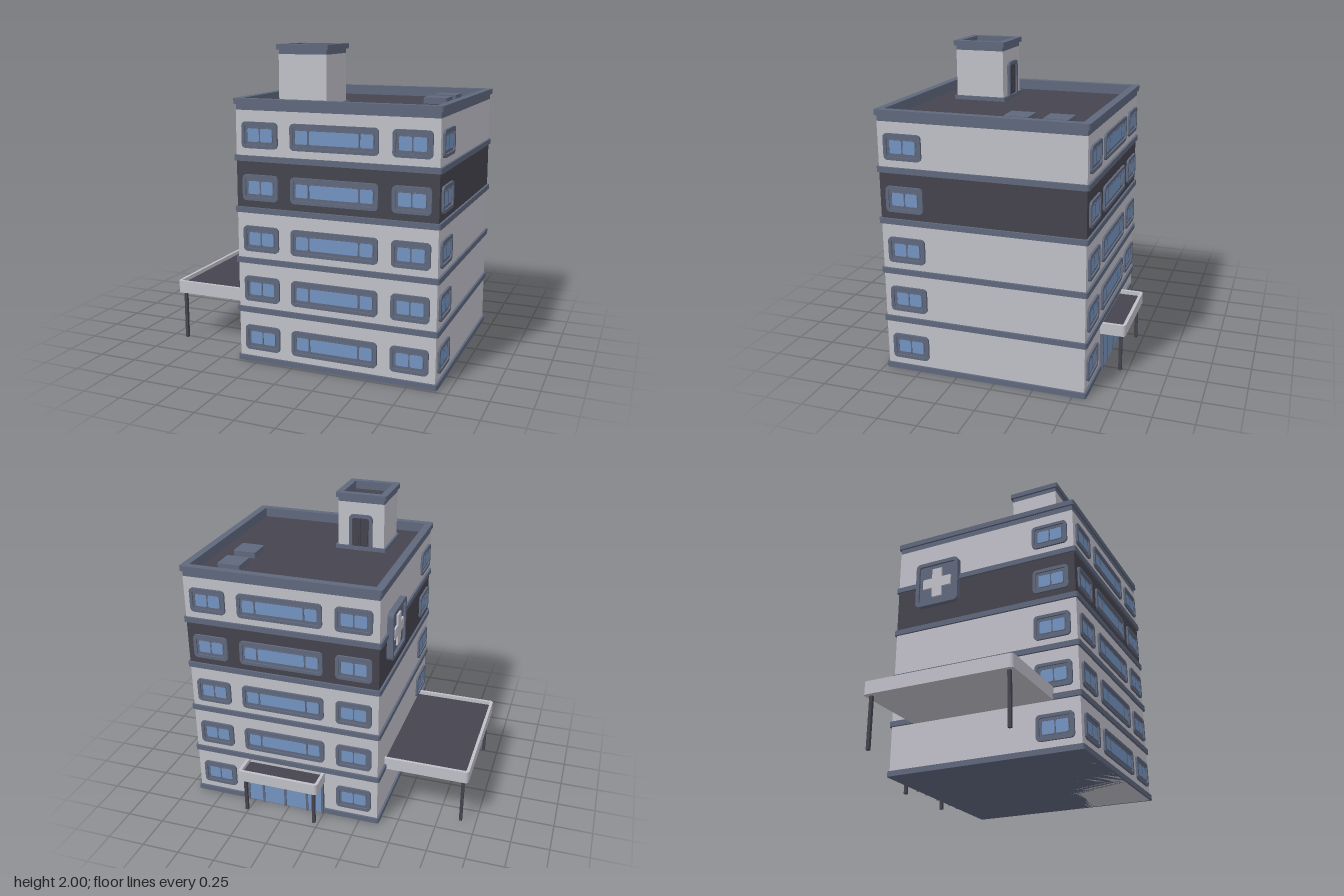
import * as THREE from 'three';

const paint = (name, color) => Object.assign(new THREE.MeshStandardMaterial({ color }), { name });

// Rounded rectangle path
function rounded(path, x0, x1, y0, y1, r) {
  path.moveTo(x0 + r, y0);
  path.lineTo(x1 - r, y0);
  path.absarc(x1 - r, y0 + r, r, -Math.PI / 2, 0);
  path.lineTo(x1, y1 - r);
  path.absarc(x1 - r, y1 - r, r, 0, Math.PI / 2);
  path.lineTo(x0 + r, y1);
  path.absarc(x0 + r, y1 - r, r, Math.PI / 2, Math.PI);
  path.lineTo(x0, y0 + r);
  path.absarc(x0 + r, y0 + r, r, Math.PI, Math.PI * 1.5);
  return path;
}

// Rounded plate extruded along z, with an optional inner opening t in from the edge
function plate(x0, x1, y0, y1, r, depth, t = 0) {
  const shape = rounded(new THREE.Shape(), x0, x1, y0, y1, r);
  if (t) shape.holes.push(rounded(new THREE.Path(), x0 + t, x1 - t, y0 + t, y1 - t, Math.max(r - t * 0.6, 0.004)));
  return new THREE.ExtrudeGeometry(shape, { depth, bevelEnabled: false, curveSegments: 3 });
}

// The same plate laid flat, from height y0 to y1
function slab(x0, x1, z0, z1, y0, y1, r, t = 0) {
  return plate(x0, x1, -z1, -z0, r, y1 - y0, t).rotateX(-Math.PI / 2).translate(0, y0, 0);
}

function box(x0, x1, y0, y1, z0, z1) {
  return new THREE.BoxGeometry(x1 - x0, y1 - y0, z1 - z0)
    .translate((x0 + x1) / 2, (y0 + y1) / 2, (z0 + z1) / 2);
}

export function createModel() {
  const light = paint('lightWall', 0xc1c0c9);
  const charcoal = paint('charcoal', 0x45444f);
  const slate = paint('slate', 0x5f687d);
  const glass = paint('glass', 0x7494c2);

  const model = new THREE.Group();
  model.name = 'building';
  const add = (parent, name, geometry, material) => {
    const mesh = new THREE.Mesh(geometry, material);
    mesh.name = name;
    parent.add(mesh);
    return mesh;
  };
  const group = (parent, name) => {
    const g = new THREE.Group();
    g.name = name;
    parent.add(g);
    return g;
  };

  const X0 = -0.37, X1 = 0.918, Z0 = -0.573, Z1 = 0.72, E = 0.014;

  // Storeys and the ledges between them
  const levels = [0, 0.345, 0.668, 0.992, 1.315, 1.61];
  for (let i = 0; i < 5; i++) {
    add(model, 'storey' + (i + 1), box(X0, X1, levels[i], levels[i + 1], Z0, Z1), i === 3 ? charcoal : light);
    const y = i ? levels[i] - 0.017 : 0;
    add(model, 'ledge' + (i + 1), slab(X0 - E, X1 + E, Z0 - E, Z1 + E, y, y + 0.035, 0.015), slate);
  }

  // Roof with parapet and vents
  add(model, 'roofFloor', box(X0 + 0.02, X1 - 0.02, 1.6, 1.615, Z0 + 0.02, Z1 - 0.02), charcoal);
  add(model, 'parapetBase', slab(X0, X1, Z0, Z1, 1.61, 1.645, 0.004, 0.036), slate);
  add(model, 'parapet', slab(X0 - E, X1 + E, Z0 - E, Z1 + E, 1.645, 1.68, 0.015, 0.05), slate);
  for (const z of [-0.335, -0.092]) {
    add(model, 'roofVent', slab(0.6, 0.755, z - 0.077, z + 0.077, 1.612, 1.655, 0.01), slate);
  }

  // Stair house on the roof
  const house = group(model, 'stairHouse');
  add(house, 'houseBase', slab(-0.182, 0.166, 0.192, 0.545, 1.612, 1.64, 0.008), slate);
  add(house, 'houseWalls', box(-0.167, 0.151, 1.612, 1.94, 0.207, 0.53), light);
  add(house, 'houseRoof', box(-0.15, 0.135, 1.93, 1.945, 0.22, 0.515), charcoal);
  add(house, 'houseTrim', slab(-0.167, 0.151, 0.207, 0.53, 1.94, 1.968, 0.004, 0.03), slate);
  add(house, 'houseCap', slab(-0.182, 0.166, 0.192, 0.545, 1.968, 2, 0.01, 0.045), slate);
  add(house, 'doorFrame', plate(-0.088, 0.072, 1.615, 1.86, 0.03, 0.018, 0.022).translate(0, 0, 0.19), slate);
  for (const x of [-0.066, -0.007]) {
    add(house, 'doorLeaf', box(x, x + 0.057, 1.63, 1.84, 0.2, 0.208), charcoal);
    for (const y of [1.665, 1.745]) {
      add(house, 'doorPanel', box(x + 0.012, x + 0.045, y, y + 0.06, 0.196, 0.2), charcoal);
    }
  }

  // One wall group per side, whose own +z points outwards
  const wall = (name, x, z, turn) => {
    const g = group(model, name);
    g.position.set(x, 0, z);
    g.rotation.y = turn;
    return g;
  };
  const front = wall('frontWindows', 0, Z1, 0);
  const back = wall('backWindows', 0, Z0, Math.PI);
  const left = wall('leftWindows', X1, 0, Math.PI / 2);
  const right = wall('rightWindows', X0, 0, -Math.PI / 2);

  // Framed window centred at u, y; panes are [start, end] offsets from u
  function windowUnit(parent, u, y, half, panes) {
    const g = group(parent, 'window');
    g.position.set(u, y, 0);
    add(g, 'outerFrame', plate(-half, half, -0.081, 0.081, 0.026, 0.014, 0.02), slate);
    add(g, 'innerFrame', plate(-half + 0.018, half - 0.018, -0.063, 0.063, 0.014, 0.004), slate);
    for (const [a, b] of panes) {
      add(g, 'paneFrame', plate(a - 0.004, b + 0.004, -0.046, 0.046, 0.014, 0.008, 0.005), slate);
      add(g, 'pane', plate(a, b, -0.041, 0.041, 0.01, 0.006), glass);
    }
  }
  const smallPanes = [[-0.084, -0.003], [0.003, 0.084]];
  const longPanes = [[-0.248, -0.166], [-0.157, 0.157], [0.166, 0.248]];
  for (let i = 0; i < 5; i++) {
    const y = 0.162 + i * 0.3245;
    for (const [side, s] of [[front, 1], [back, -1]]) {
      for (const x of [-0.208, 0.757]) windowUnit(side, s * x, y, 0.119, smallPanes);
      if (side === front || i > 0) windowUnit(side, s * 0.274, y, 0.28, longPanes);
    }
    windowUnit(left, -0.558, y, 0.121, smallPanes);
    windowUnit(right, 0.558, y, 0.121, smallPanes);
  }

  // Glazed entrance at the back
  const entrance = group(model, 'entrance');
  add(entrance, 'entranceGlass', box(0.01, 0.54, 0.005, 0.25, -0.591, Z0), glass);
  for (const x of [0, 0.11, 0.267, 0.425, 0.535]) {
    add(entrance, 'entranceMullion', box(x, x + 0.015, 0, 0.25, -0.597, Z0), slate);
  }
  add(entrance, 'entranceLintel', box(0, 0.55, 0.235, 0.25, -0.597, Z0), slate);

  // Canopies: light tray, dark sunken top and two thin posts
  function canopy(name, x0, x1, z0, z1, y0, y1, posts) {
    const g = group(model, name);
    add(g, 'canopyBase', slab(x0, x1, z0, z1, y0, y1 - 0.03, 0.022), light);
    add(g, 'canopyRim', slab(x0, x1, z0, z1, y1 - 0.03, y1, 0.022, 0.02), light);
    add(g, 'canopyTop', slab(x0 + 0.019, x1 - 0.019, z0 + 0.019, z1 - 0.019, y1 - 0.031, y1 - 0.026, 0.005), charcoal);
    for (const [x, z] of posts) {
      add(g, 'post', box(x - 0.01, x + 0.01, 0, y0 + 0.01, z - 0.01, z + 0.01), charcoal);
    }
  }
  canopy('sideCanopy', -0.935, -0.35, -0.412, 0.552, 0.327, 0.41, [[-0.897, -0.375], [-0.897, 0.515]]);
  canopy('entranceCanopy', -0.007, 0.55, -0.735, -0.555, 0.25, 0.325, [[0.03, -0.7], [0.513, -0.7]]);

  // Wall sign with a plus shape
  const sign = group(right, 'signPanel');
  sign.position.set(-0.255, 1.297, 0);
  add(sign, 'signBack', plate(-0.16, 0.16, -0.163, 0.163, 0.03, 0.025), slate);
  add(sign, 'signFrame', plate(-0.16, 0.16, -0.163, 0.163, 0.03, 0.04, 0.025), slate);
  const a = 0.036, b = 0.105;
  const plus = new THREE.Shape([
    [-a, -b], [a, -b], [a, -a], [b, -a], [b, a], [a, a],
    [a, b], [-a, b], [-a, a], [-b, a], [-b, -a], [-a, -a],
  ].map(([x, y]) => new THREE.Vector2(x, y)));
  add(sign, 'signPlus', new THREE.ExtrudeGeometry(plus, { depth: 0.038, bevelEnabled: false }), light);

  return model;
}
